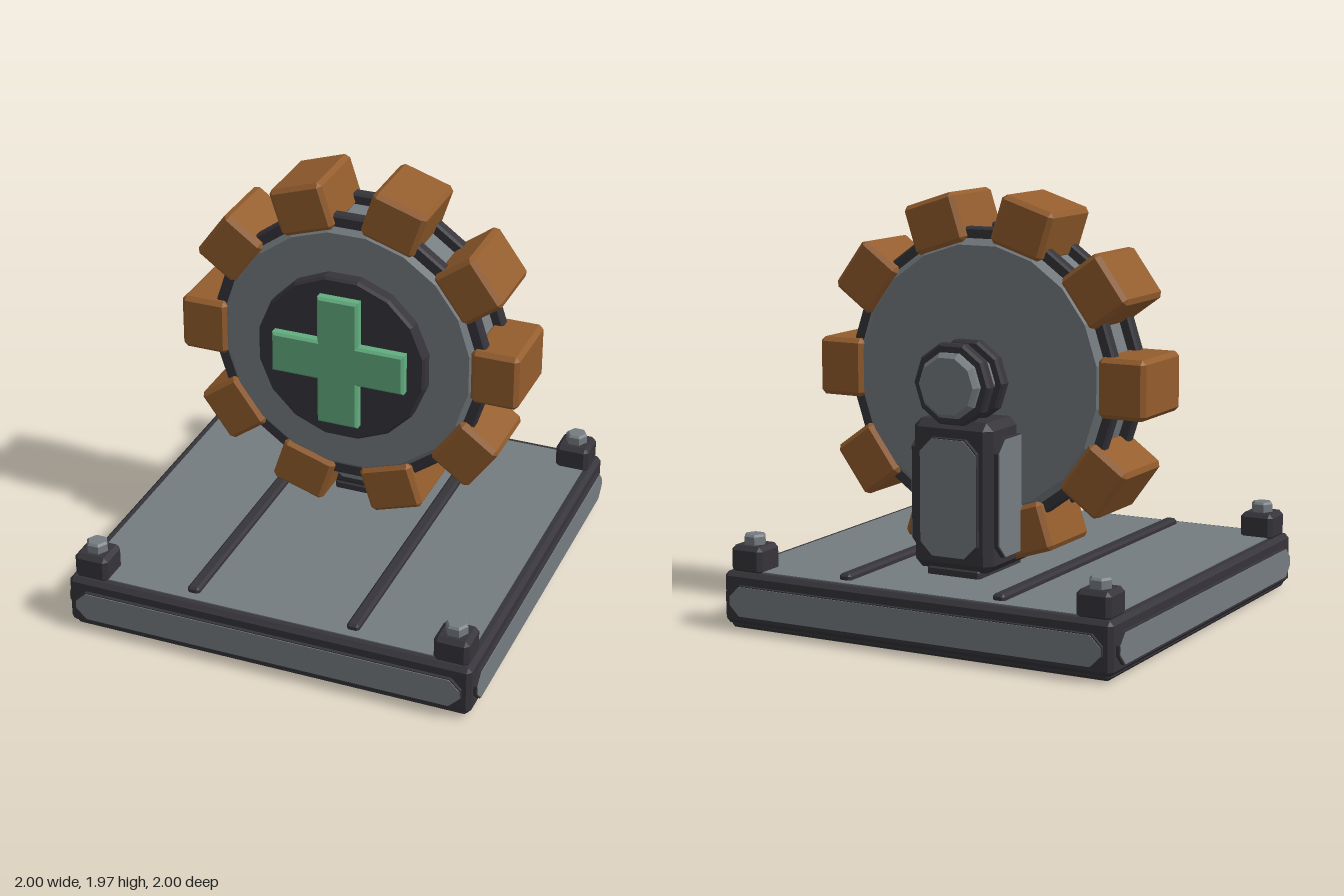
import * as THREE from 'three';
import { ConvexGeometry } from 'three/addons/geometries/ConvexGeometry.js';

const material = (name, color) => {
  const m = new THREE.MeshStandardMaterial({ color, flatShading: true });
  m.name = name;
  return m;
};

export function createModel() {
  const steel = material('steel grey', 0x757c80);
  const dark = material('dark iron', 0x36343a);
  const wood = material('brown', 0x945d2d);
  const green = material('green', 0x63ae80);

  const model = new THREE.Group();
  model.name = 'wheelMachine';

  function add(parent, name, geometry, mat, x = 0, y = 0, z = 0) {
    const mesh = new THREE.Mesh(geometry, mat);
    mesh.name = name;
    mesh.position.set(x, y, z);
    parent.add(mesh);
    return mesh;
  }

  function group(parent, name, x = 0, y = 0, z = 0) {
    const g = new THREE.Group();
    g.name = name;
    g.position.set(x, y, z);
    parent.add(g);
    return g;
  }

  // Box with every edge cut by c
  function chamferBox(w, h, d, c) {
    const [a, b, e] = [w / 2, h / 2, d / 2];
    const points = [];
    for (const i of [-1, 1]) for (const j of [-1, 1]) for (const k of [-1, 1]) {
      points.push(
        new THREE.Vector3(i * a, j * (b - c), k * (e - c)),
        new THREE.Vector3(i * (a - c), j * b, k * (e - c)),
        new THREE.Vector3(i * (a - c), j * (b - c), k * e));
    }
    return new ConvexGeometry(points);
  }

  // Flat plate with cut corners, extruded from z = 0 towards +z
  function cutPlate(w, h, cut, depth) {
    const [a, b] = [w / 2, h / 2];
    const shape = new THREE.Shape([
      [a - cut, -b], [a, cut - b], [a, b - cut], [a - cut, b],
      [cut - a, b], [-a, b - cut], [-a, cut - b], [cut - a, -b],
    ].map(([x, y]) => new THREE.Vector2(x, y)));
    return new THREE.ExtrudeGeometry(shape, { depth, bevelEnabled: false });
  }

  // Chamfered disc along z
  function disc(radius, depth, bevel, sides) {
    const [r, d] = [radius, depth / 2];
    const profile = [[0, -d], [r - bevel, -d], [r, bevel - d], [r, d - bevel], [r - bevel, d], [0, d]];
    return new THREE.LatheGeometry(profile.map(([x, y]) => new THREE.Vector2(x, y)), sides)
      .rotateY(Math.PI / sides).rotateX(Math.PI / 2);
  }

  // Raised dark plate with a grey face
  function panel(parent, name, w, h, cut, x, y, z, turn, rise) {
    const g = group(parent, name, x, y, z);
    g.rotation.y = turn;
    add(g, 'panelEdge', cutPlate(w, h, cut, rise - 0.004), dark);
    add(g, 'panelFace', cutPlate(w - 0.008, h - 0.008, cut, 0.004), steel, 0, 0, rise - 0.004);
  }

  // Base slab
  const base = group(model, 'base');
  add(base, 'baseFrame', chamferBox(1.96, 0.24, 1.96, 0.02), dark, 0, 0.147, 0);
  add(base, 'baseFoot', chamferBox(1.92, 0.05, 1.92, 0.015), dark, 0, 0.029, 0);
  add(base, 'bottomPlate', new THREE.BoxGeometry(1.87, 0.008, 1.87), steel, 0, 0.004, 0);
  add(base, 'topPlate', new THREE.BoxGeometry(1.87, 0.008, 1.87), steel, 0, 0.268, 0);
  for (let i = 0; i < 4; i++) {
    const a = i * Math.PI / 2;
    panel(base, 'basePanel', 1.88, 0.145, 0.05, 0.978 * Math.sin(a), 0.138, 0.978 * Math.cos(a), a, 0.022);
  }

  // Rails and corner blocks with bolts
  for (const sx of [-1, 1]) {
    add(base, 'rail', chamferBox(0.06, 0.04, 1.78, 0.012), dark, sx * 0.39, 0.28, 0);
    for (const sz of [-1, 1]) {
      const corner = group(base, 'cornerBlock', sx * 0.875, 0, sz * 0.875);
      add(corner, 'block', chamferBox(0.165, 0.13, 0.165, 0.02), dark, 0, 0.32, 0);
      const bolt = disc(0.053, 0.08, 0.01, 6).rotateX(Math.PI / 2);
      add(corner, 'bolt', bolt, steel, 0, 0.392, 0);
    }
  }

  // Stand behind the wheel
  const stand = group(model, 'stand', 0, 0, -0.4);
  add(stand, 'standFoot', chamferBox(0.27, 0.05, 0.4, 0.01), dark, 0, 0.285, 0);
  add(stand, 'standBody', chamferBox(0.4, 0.68, 0.44, 0.035), dark, 0, 0.64, 0);
  for (const s of [-1, 1]) {
    panel(stand, 'standSidePanel', 0.36, 0.54, 0.06, s * 0.195, 0.635, 0, s * Math.PI / 2, 0.03);
    panel(stand, 'standEndPanel', 0.29, 0.54, 0.06, 0, 0.635, s * 0.215, s > 0 ? 0 : Math.PI, 0.03);
  }

  // Axle with two collars
  const axle = group(model, 'axle', 0, 1.14, 0);
  add(axle, 'shaft', disc(0.152, 0.3, 0.02, 10), steel, 0, 0, -0.5);
  for (const z of [-0.45, -0.58]) add(axle, 'collar', disc(0.193, 0.06, 0.012, 10), dark, 0, 0, z);

  // Wheel drum, rims and hub
  const wheel = group(model, 'wheel', 0, 1.14, -0.19);
  add(wheel, 'drum', disc(0.635, 0.36, 0.03, 20), steel);
  for (const z of [-0.12, 0.125]) add(wheel, 'rim', disc(0.685, 0.062, 0.01, 20), dark, 0, 0, z);
  add(wheel, 'hub', disc(0.418, 0.075, 0.012, 16), dark, 0, 0, 0.2175);

  // Ten treads around the drum
  for (let i = 0; i < 10; i++) {
    const a = i * Math.PI / 5;
    const tread = add(wheel, 'tread', chamferBox(0.23, 0.27, 0.38, 0.02), wood,
      0.72 * Math.cos(a), 0.72 * Math.sin(a), 0);
    tread.rotation.z = a;
  }

  // Cross on the hub, with bevelled edges
  const [l, v, w, b] = [0.325, 0.325, 0.1, 0.012];
  const [L, V, W] = [l - b, v - b, w - b];
  const cross = new THREE.Shape([
    [W, -V], [W, -W], [L, -W], [L, W], [W, W], [W, V],
    [-W, V], [-W, W], [-L, W], [-L, -W], [-W, -W], [-W, -V],
  ].map(([x, y]) => new THREE.Vector2(x, y)));
  add(wheel, 'cross', new THREE.ExtrudeGeometry(cross, {
    depth: 0.04, bevelThickness: b, bevelSize: b, bevelSegments: 1,
  }), green, 0, 0, 0.25);

  return model;
}
